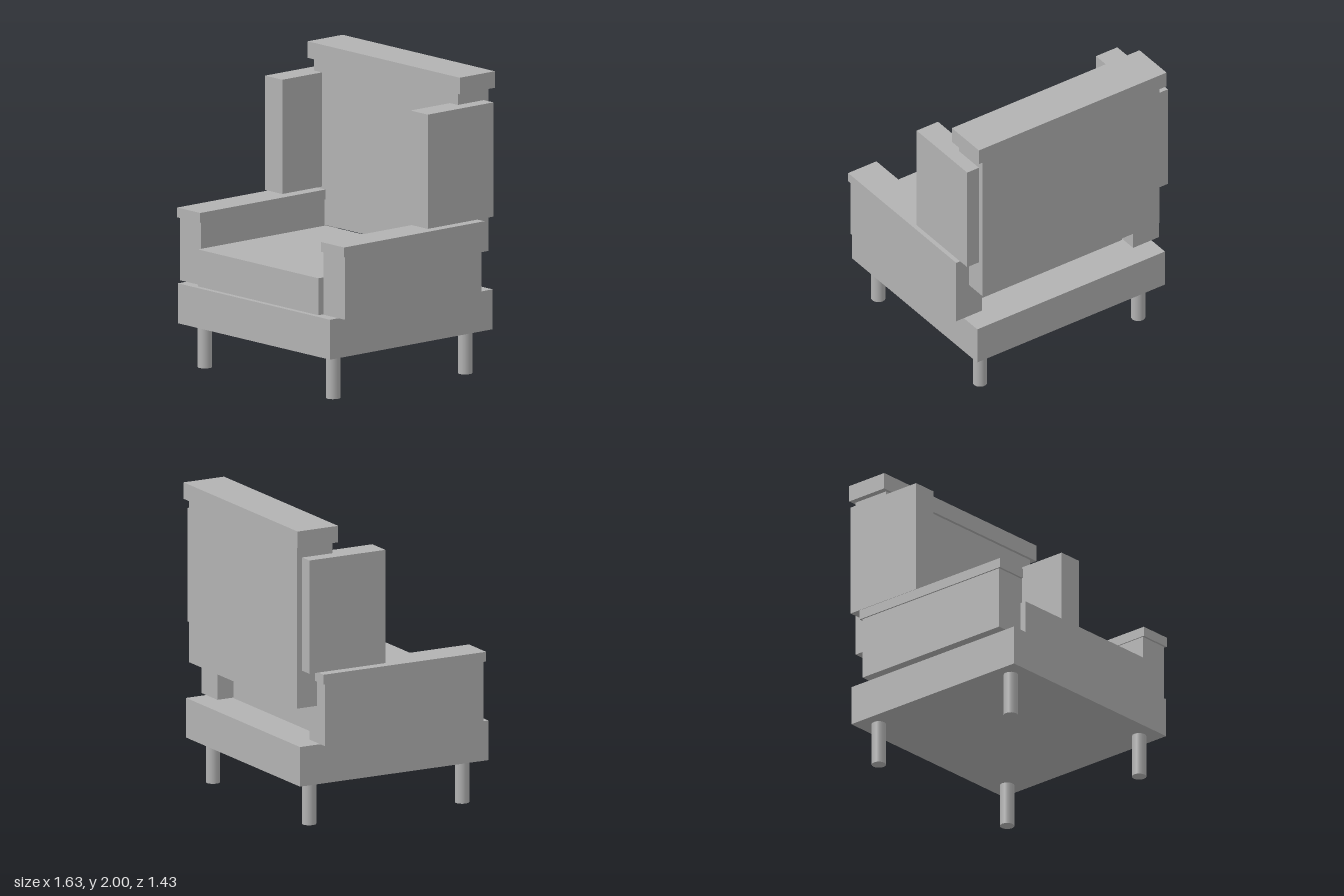
import * as THREE from 'three';

export function createModel() {
  const group = new THREE.Group();
  group.name = 'armchair';
  const grey = new THREE.MeshStandardMaterial({ color: 0xb2b2b2 });
  grey.name = 'grey';

  // Box given by its low and high bounds on each axis
  function block(name, [x0, x1], [y0, y1], [z0, z1]) {
    const mesh = new THREE.Mesh(new THREE.BoxGeometry(x1 - x0, y1 - y0, z1 - z0), grey);
    mesh.position.set((x0 + x1) / 2, (y0 + y1) / 2, (z0 + z1) / 2);
    mesh.name = name;
    group.add(mesh);
  }

  // Block on the left (+x) and its mirror on the right
  function pair(name, [x0, x1], y, z) {
    block('left' + name, [x0, x1], y, z);
    block('right' + name, [-x1, -x0], y, z);
  }

  // Centre parts
  block('base', [-0.745, 0.745], [0.29, 0.555], [-0.695, 0.713]);
  block('seatCushion', [-0.59, 0.59], [0.555, 0.80], [-0.43, 0.677]);
  block('backrest', [-0.703, 0.703], [0.803, 1.89], [-0.695, -0.43]);
  block('topRail', [-0.745, 0.745], [1.89, 2], [-0.713, -0.41]);

  // Arms with caps, and wings beside the backrest
  pair('Arm', [0.60, 0.807], [0.555, 0.973], [-0.543, 0.64]);
  pair('ArmCap', [0.592, 0.817], [0.973, 1.038], [-0.56, 0.655]);
  pair('Wing', [0.627, 0.797], [1.052, 1.81], [-0.655, -0.087]);

  // Round legs
  const legGeometry = new THREE.CylinderGeometry(0.047, 0.047, 0.29, 16);
  for (const x of [-0.628, 0.628]) {
    for (const z of [-0.56, 0.583]) {
      const leg = new THREE.Mesh(legGeometry, grey);
      leg.position.set(x, 0.145, z);
      leg.name = (z > 0 ? 'front' : 'back') + (x > 0 ? 'Left' : 'Right') + 'Leg';
      group.add(leg);
    }
  }
  return group;
}
